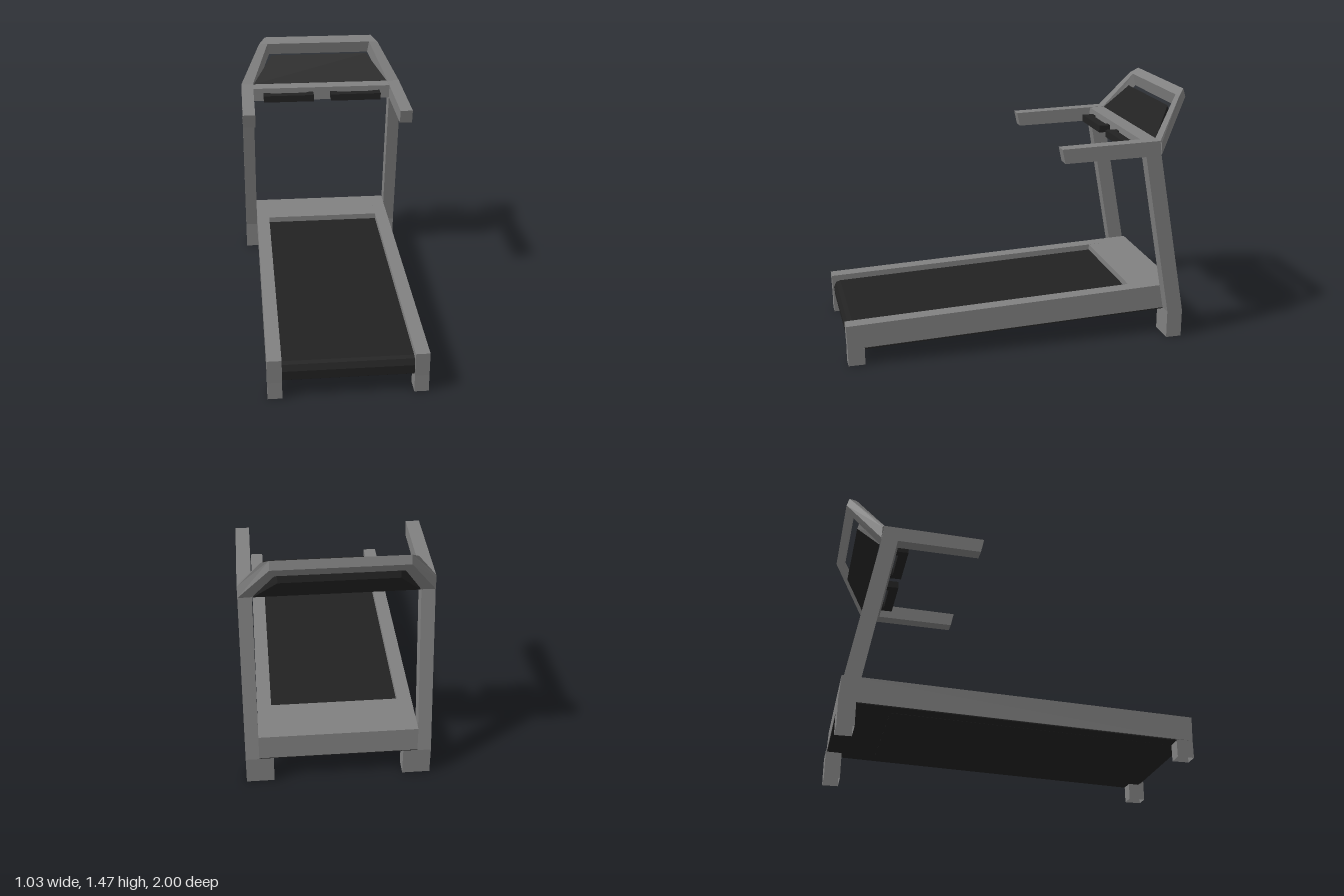
import * as THREE from 'three';

// Solid with a [z, y] side outline, spanning x0..x1
function prism(outline, x0, x1) {
  const shape = new THREE.Shape(outline.map(([z, y]) => new THREE.Vector2(-z, y)));
  const geo = new THREE.ExtrudeGeometry(shape, { depth: x1 - x0, bevelEnabled: false });
  return geo.rotateY(Math.PI / 2).translate(x0, 0, 0);
}

// Flat-faced skin over equal-length loops of [x, y, z], capped at both ends
function loft(sections) {
  const pos = [];
  const tri = (a, b, c) => pos.push(...a, ...b, ...c);
  const n = sections[0].length;
  for (let s = 0; s < sections.length - 1; s++) {
    for (let j = 0; j < n; j++) {
      const k = (j + 1) % n;
      const p = sections[s], q = sections[s + 1];
      tri(p[j], p[k], q[j]);
      tri(p[k], q[k], q[j]);
    }
  }
  const first = sections[0], last = sections[sections.length - 1];
  for (let j = 1; j < n - 1; j++) {
    tri(first[0], first[j + 1], first[j]);
    tri(last[0], last[j], last[j + 1]);
  }
  const geo = new THREE.BufferGeometry();
  geo.setAttribute('position', new THREE.Float32BufferAttribute(pos, 3));
  geo.computeVertexNormals();
  return geo;
}

// Square tube without end faces
function openTube(x0, x1, y0, y1, z0, z1) {
  const geo = new THREE.CylinderGeometry(Math.SQRT1_2, Math.SQRT1_2, 1, 4, 1, true)
    .rotateY(Math.PI / 4).toNonIndexed();
  geo.scale(x1 - x0, y1 - y0, z1 - z0);
  geo.translate((x0 + x1) / 2, (y0 + y1) / 2, (z0 + z1) / 2);
  geo.computeVertexNormals();
  return geo;
}

function box(x0, x1, y0, y1, z0, z1) {
  return new THREE.BoxGeometry(x1 - x0, y1 - y0, z1 - z0)
    .translate((x0 + x1) / 2, (y0 + y1) / 2, (z0 + z1) / 2);
}

const mirror = (section) => section.map(([x, y, z]) => [-x, y, z]);

export function createModel() {
  const group = new THREE.Group();
  const grey = new THREE.MeshStandardMaterial({ color: 0x808080, side: THREE.DoubleSide });
  grey.name = 'frame grey';
  const black = new THREE.MeshStandardMaterial({ color: 0x222222 });
  black.name = 'belt black';

  const add = (name, geo, mat) => {
    const mesh = new THREE.Mesh(geo, mat);
    mesh.name = name;
    group.add(mesh);
  };

  // Deck: running belt with a rolled front edge, dark underside, rear cover
  add('runningBelt', prism([[-0.69, 0.265], [0.95, 0.207], [0.975, 0.199], [0.99, 0.165],
    [0.985, 0.11], [0.96, 0.093], [-0.69, 0.148]], -0.36, 0.36), black);
  add('underside', prism([[0.9, 0.101], [-0.97, 0.165], [-0.97, 0.159], [0.9, 0.095]], -0.44, 0.44), black);
  add('rearCover', prism([[-0.69, 0.3], [-0.965, 0.31], [-0.972, 0.165], [-0.69, 0.156]], -0.36, 0.36), grey);

  // Mirrored side parts
  for (const [side, s] of [['left', 1], ['right', -1]]) {
    const span = (a, b) => (s > 0 ? [a, b] : [-b, -a]);
    add(side + 'Rail', prism([[1, 0.24], [-0.965, 0.31], [-0.972, 0.165], [0.995, 0.101]],
      ...span(0.36, 0.44)), grey);
    add(side + 'FrontFoot', openTube(...span(0.36, 0.44), 0, 0.101, 0.9, 0.995), grey);
    add(side + 'RearFoot', openTube(...span(0.36, 0.515), 0, 0.165, -0.978, -0.885), grey);
    add(side + 'Upright', prism([[-0.71, 1.122], [-0.8, 1.13], [-0.978, 0.165], [-0.885, 0.165]],
      ...span(0.44, 0.515)), grey);
    add(side + 'Handle', prism([[-0.217, 1.195], [-0.79, 1.21], [-0.8, 1.13], [-0.71, 1.122],
      [-0.235, 1.113]], ...span(0.44, 0.515)), grey);

    // U-shaped pulse grip in front of the crossbar
    add(side + 'Grip', box(...span(0.055, 0.375), 1.135, 1.177, -0.685, -0.63), black);
    for (const x of [0.055, 0.33]) {
      add(side + 'GripMount', box(...span(x, x + 0.045), 1.135, 1.177, -0.701, -0.685), black);
    }
  }

  add('crossbar', prism([[-0.7, 1.206], [-0.79, 1.209], [-0.8, 1.13], [-0.7, 1.124]], -0.44, 0.44), grey);

  // Console hoop: two leaning arms joined by a bevelled top beam
  const base = [[0.44, 1.21, -0.79], [0.515, 1.21, -0.79], [0.515, 1.2, -0.8],
    [0.515, 1.13, -0.803], [0.44, 1.13, -0.8]];
  const corner = [[0.335, 1.432, -0.945], [0.39, 1.432, -0.945], [0.35, 1.467, -0.985],
    [0.35, 1.42, -1], [0.325, 1.36, -0.96]];
  add('consoleHoop', loft([base, corner, mirror(corner), mirror(base)]), grey);

  // Console panel: wedge-sided slab inside the hoop
  const panelEnd = [[0.435, 1.208, -0.794], [0.31, 1.365, -0.91], [0.31, 1.295, -0.927], [0.435, 1.132, -0.805]];
  add('consolePanel', loft([panelEnd, mirror(panelEnd)]), black);

  return group;
}
